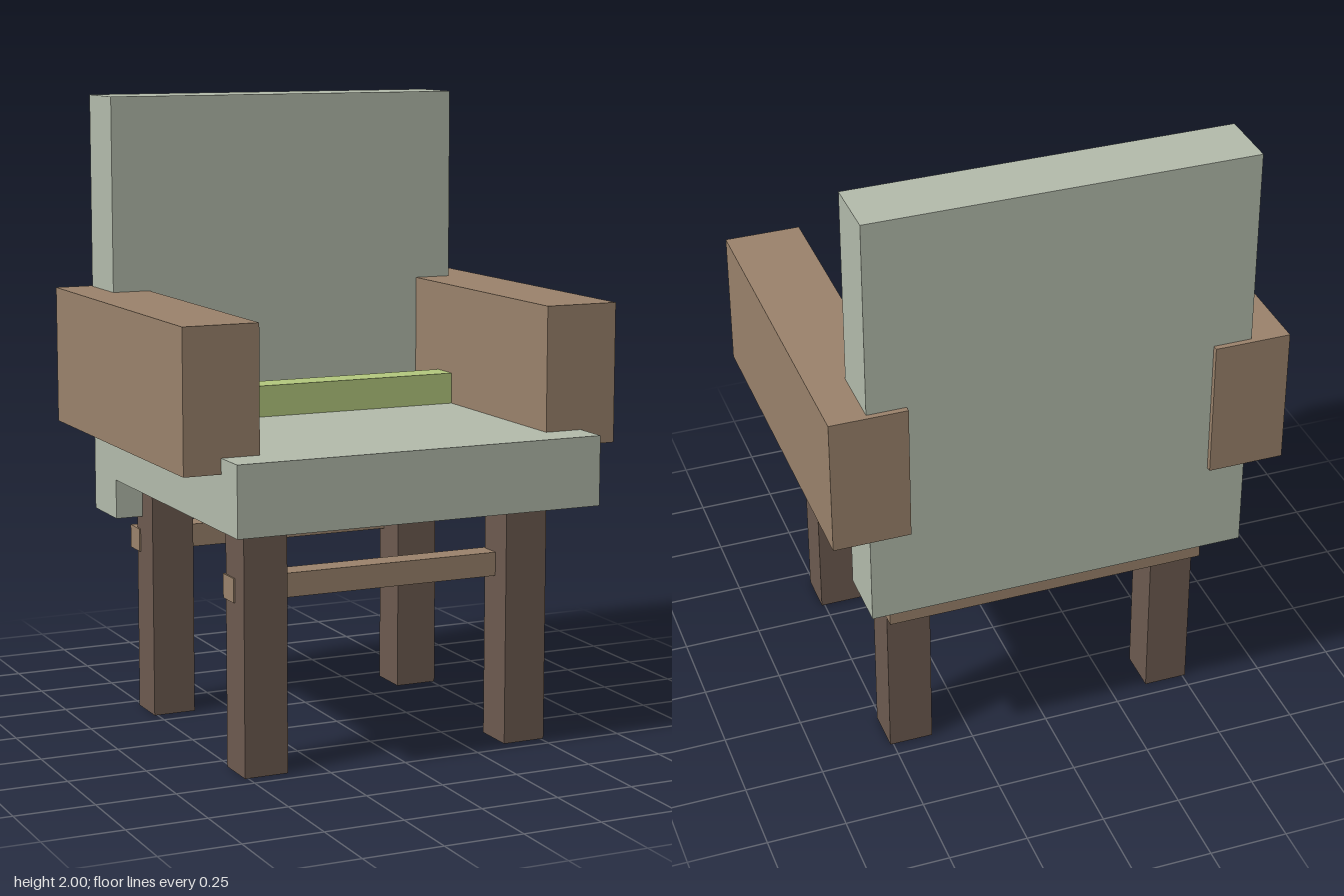
import * as THREE from 'three';

export function createModel() {
  const chair = new THREE.Group();
  chair.name = 'armchair';

  const material = (name, color) => {
    const m = new THREE.MeshStandardMaterial({ color });
    m.name = name;
    return m;
  };
  const fabric = material('sage fabric', 0xb4bcac);
  const wood = material('tan wood', 0x9b836c);
  const darkWood = material('dark wood', 0x6d5b50);
  const accent = material('lime fabric', 0xb4c97e);

  // Box given by its extents along each axis
  const block = (name, mat, [x0, x1], [y0, y1], [z0, z1]) => {
    const mesh = new THREE.Mesh(new THREE.BoxGeometry(x1 - x0, y1 - y0, z1 - z0), mat);
    mesh.position.set((x0 + x1) / 2, (y0 + y1) / 2, (z0 + z1) / 2);
    mesh.name = name;
    chair.add(mesh);
  };

  // Upholstery
  block('seat', fabric, [-0.6, 0.6], [0.772, 0.99], [-0.5, 0.62]);
  block('backrest', fabric, [-0.6, 0.6], [0.645, 2], [-0.6, -0.4]);
  block('lumbarStrip', accent, [-0.48, 0.48], [0.985, 1.09], [-0.233, -0.135]);

  // Armrests and legs, mirrored left and right
  for (const [side, s] of [['left', 1], ['right', -1]]) {
    const span = (a, b) => (s > 0 ? [a, b] : [-b, -a]);
    block(`${side}Armrest`, wood, span(0.478, 0.718), [0.942, 1.38], [-0.618, 0.5]);
    block(`${side}FrontLeg`, darkWood, span(0.37, 0.51), [0, 0.78], [0.31, 0.45]);
    block(`${side}BackLeg`, darkWood, span(0.37, 0.51), [0, 0.78], [-0.45, -0.31]);
  }

  // Stretchers across the leg pairs
  block('frontStretcher', wood, [-0.515, 0.515], [0.525, 0.6], [0.3, 0.38]);
  block('backStretcher', wood, [-0.515, 0.515], [0.525, 0.6], [-0.5, -0.42]);

  return chair;
}
